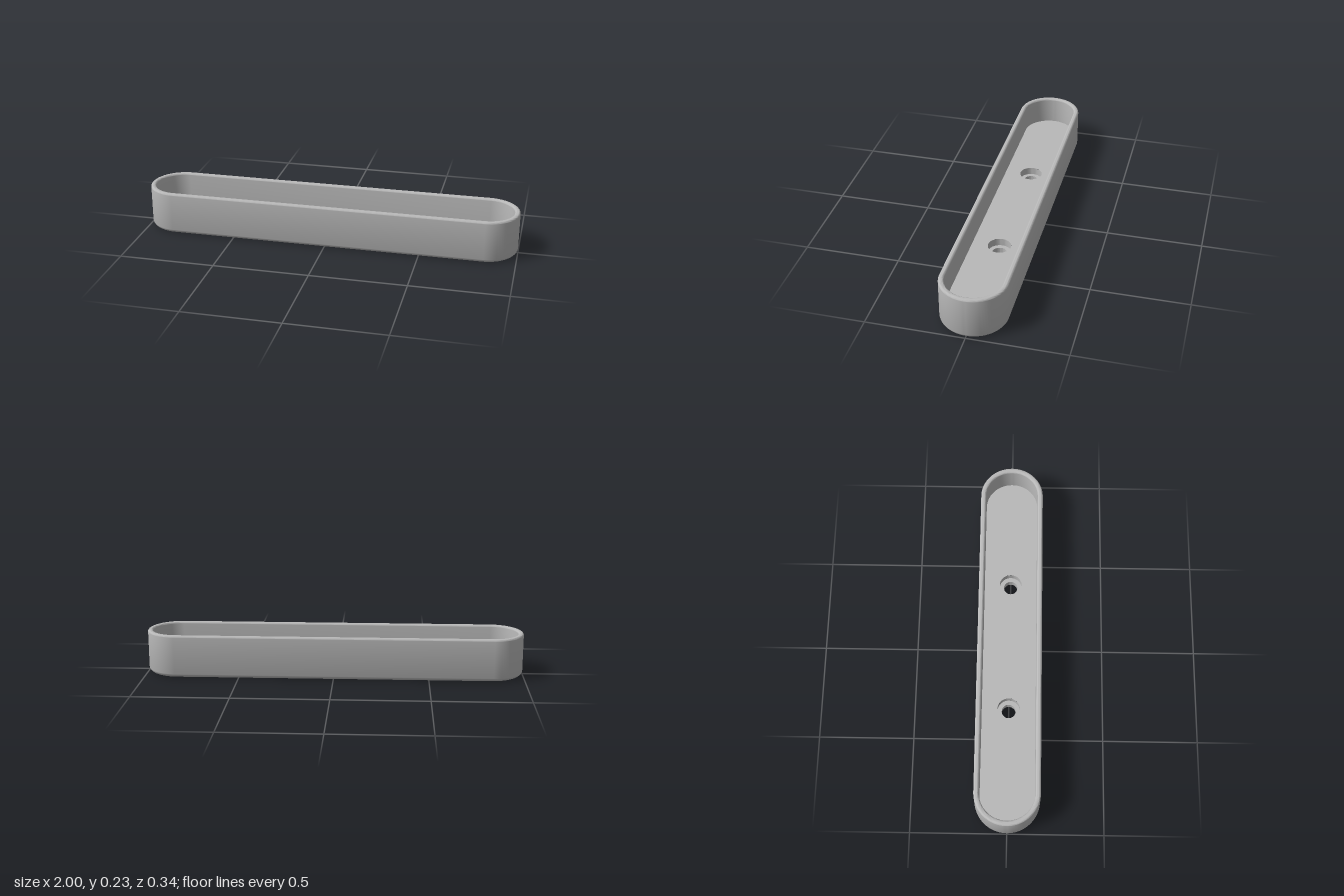
import * as THREE from 'three';
import { toCreasedNormals } from 'three/addons/utils/BufferGeometryUtils.js';

const SEG = 80;
const HALF = 0.83;      // half length of the straight sides
const R = 0.17;         // outer end radius
const RI = 0.142;       // inner end radius
const H = 0.228;        // height
const FLOOR = 0.08;     // height of the inside floor
const HOLE_X = 0.355;   // screw hole offset

const grey = new THREE.MeshStandardMaterial({ color: 0xb8b8b8 });
grey.name = 'grey';

// Quarter-round points about (cx, cy) between two angles
function arc(cx, cy, r, from, to, n = 6) {
  return Array.from({ length: n + 1 }, (_, i) => {
    const a = from + (to - from) * i / n;
    return new THREE.Vector2(cx + r * Math.cos(a), cy + r * Math.sin(a));
  });
}

// Flat pill-shaped plate with two round holes
function plate(radius, holeRadius) {
  const k = Math.PI / 2;
  const shape = new THREE.Shape();
  shape.absarc(HALF, 0, radius, -k, k, false);
  shape.absarc(-HALF, 0, radius, k, 3 * k, false);
  shape.closePath();
  for (const x of [-HOLE_X, HOLE_X]) {
    const hole = new THREE.Path();
    hole.absarc(x, 0, holeRadius, 0, Math.PI * 2, true);
    shape.holes.push(hole);
  }
  return new THREE.ShapeGeometry(shape, SEG / 2);
}

export function createModel() {
  const group = new THREE.Group();
  group.name = 'tray';
  const add = (name, geometry) => {
    const mesh = new THREE.Mesh(geometry, grey);
    mesh.name = name;
    group.add(mesh);
    return mesh;
  };

  // Wall: rounded ring profile, pulled apart along x into a pill outline
  const k = Math.PI / 2, b = 0.028, t = 0.01;
  const profile = [
    ...arc(R - b, b, b, -k, 0),
    ...arc(R - t, H - t, t, 0, k),
    ...arc(RI + t, H - t, t, k, 2 * k),
    new THREE.Vector2(RI, FLOOR),
  ];
  const wall = new THREE.LatheGeometry(profile, SEG, Math.PI / SEG);
  const p = wall.attributes.position;
  for (let i = 0; i < p.count; i++) p.setX(i, p.getX(i) + Math.sign(p.getX(i)) * HALF);
  add('wall', toCreasedNormals(wall, 0.6));

  // Inside floor and underside
  add('floor', plate(RI, 0.06).rotateX(-k)).position.y = FLOOR;
  add('underside', plate(R - b, 0.037).rotateX(k));

  // Stepped screw holes
  const step = [[0.06, FLOOR], [0.06, 0.04], [0.037, 0.04], [0.037, 0]]
    .map(([x, y]) => new THREE.Vector2(x, y));
  for (const x of [-HOLE_X, HOLE_X]) {
    const hole = toCreasedNormals(new THREE.LatheGeometry(step, 40), 0.6);
    add('screwHole', hole).position.x = x;
  }
  return group;
}
